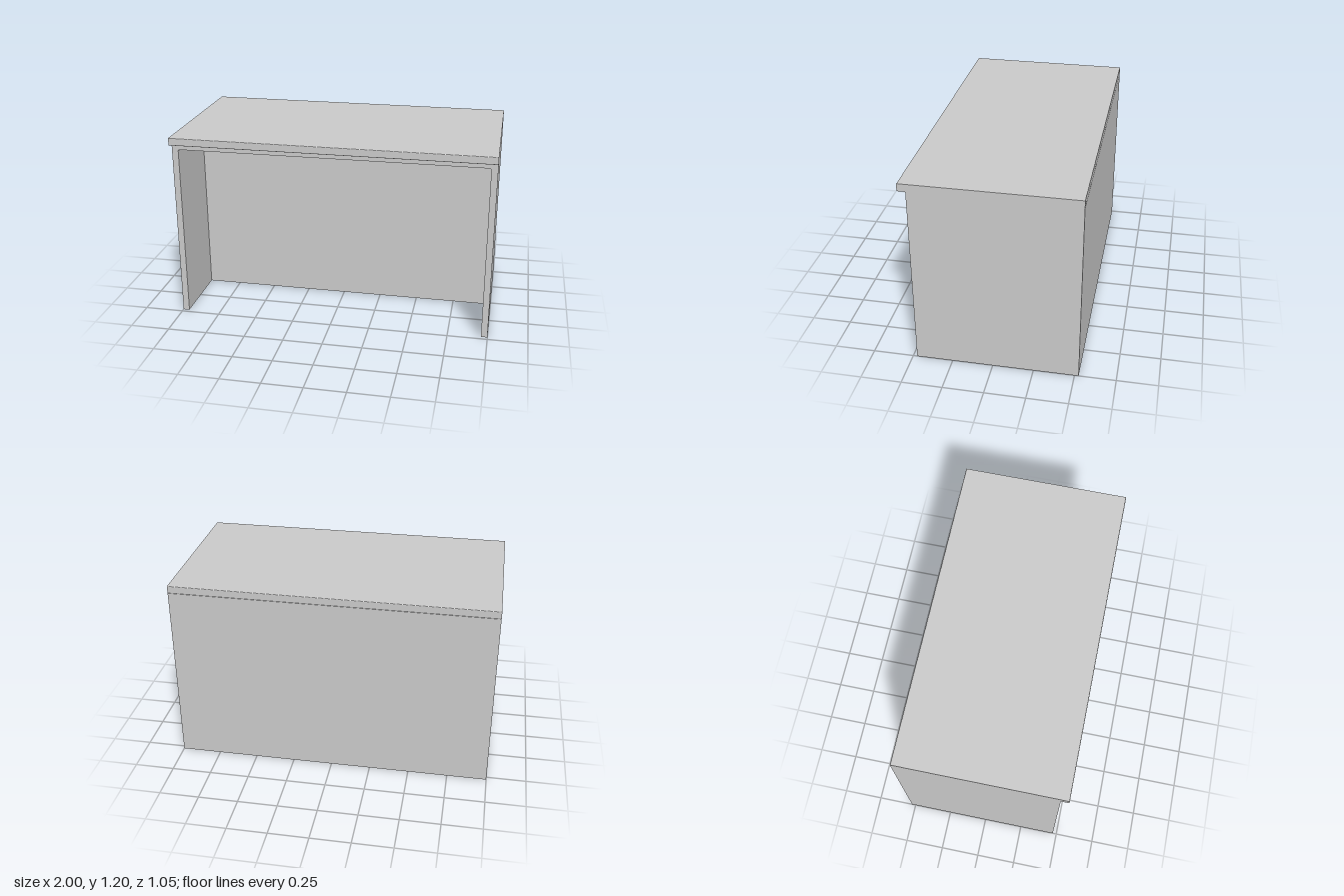
import * as THREE from 'three';

const material = new THREE.MeshStandardMaterial({ color: 0xcccccc, flatShading: true });

const BACK = -0.525;   // rear plane shared by carcass and worktop
const DEPTH = 1.0;     // carcass depth
const T = 0.04;        // board thickness
const H = 1.153;       // carcass height

export function createModel() {
  const desk = new THREE.Group();
  desk.name = 'desk';

  const add = (name, geometry, x = 0, y = 0, z = 0) => {
    const mesh = new THREE.Mesh(geometry, material);
    mesh.name = name;
    mesh.position.set(x, y, z);
    desk.add(mesh);
  };

  // Two sides and upper board as one arch, with softened inner corners
  const xi = 1 - T, yi = H - T, r = 0.01;
  const arch = new THREE.Shape();
  arch.moveTo(-1, 0);
  arch.lineTo(-xi, 0);
  arch.lineTo(-xi, yi - r);
  arch.quadraticCurveTo(-xi, yi, -xi + r, yi);
  arch.lineTo(xi - r, yi);
  arch.quadraticCurveTo(xi, yi, xi, yi - r);
  arch.lineTo(xi, 0);
  arch.lineTo(1, 0);
  arch.lineTo(1, H);
  arch.lineTo(-1, H);
  arch.closePath();
  add('carcass', new THREE.ExtrudeGeometry(arch, { depth: DEPTH, bevelEnabled: false, curveSegments: 4 }), 0, 0, BACK);

  // Upright panels closing the back and the knee space, hollow between them
  const panel = new THREE.BoxGeometry(2 * xi, yi, T);
  add('backPanel', panel, 0, yi / 2, BACK + T / 2);
  add('kneePanel', panel, 0, yi / 2, 0);

  // Worktop: a long profile with eased front and rear edges
  const zf = 0.525, top = 1.2, e = 0.005;
  const profile = new THREE.Shape();
  profile.moveTo(-zf + e, H);
  profile.lineTo(zf - e, H);
  profile.quadraticCurveTo(zf, H, zf, H + e);
  profile.lineTo(zf, top - e);
  profile.quadraticCurveTo(zf, top, zf - e, top);
  profile.lineTo(-zf + e, top);
  profile.quadraticCurveTo(-zf, top, -zf, top - e);
  profile.lineTo(-zf, H + e);
  profile.quadraticCurveTo(-zf, H, -zf + e, H);
  const worktop = new THREE.ExtrudeGeometry(profile, { depth: 2, bevelEnabled: false, curveSegments: 4 });
  worktop.translate(0, 0, -1).rotateY(Math.PI / 2);
  add('worktop', worktop);

  return desk;
}
